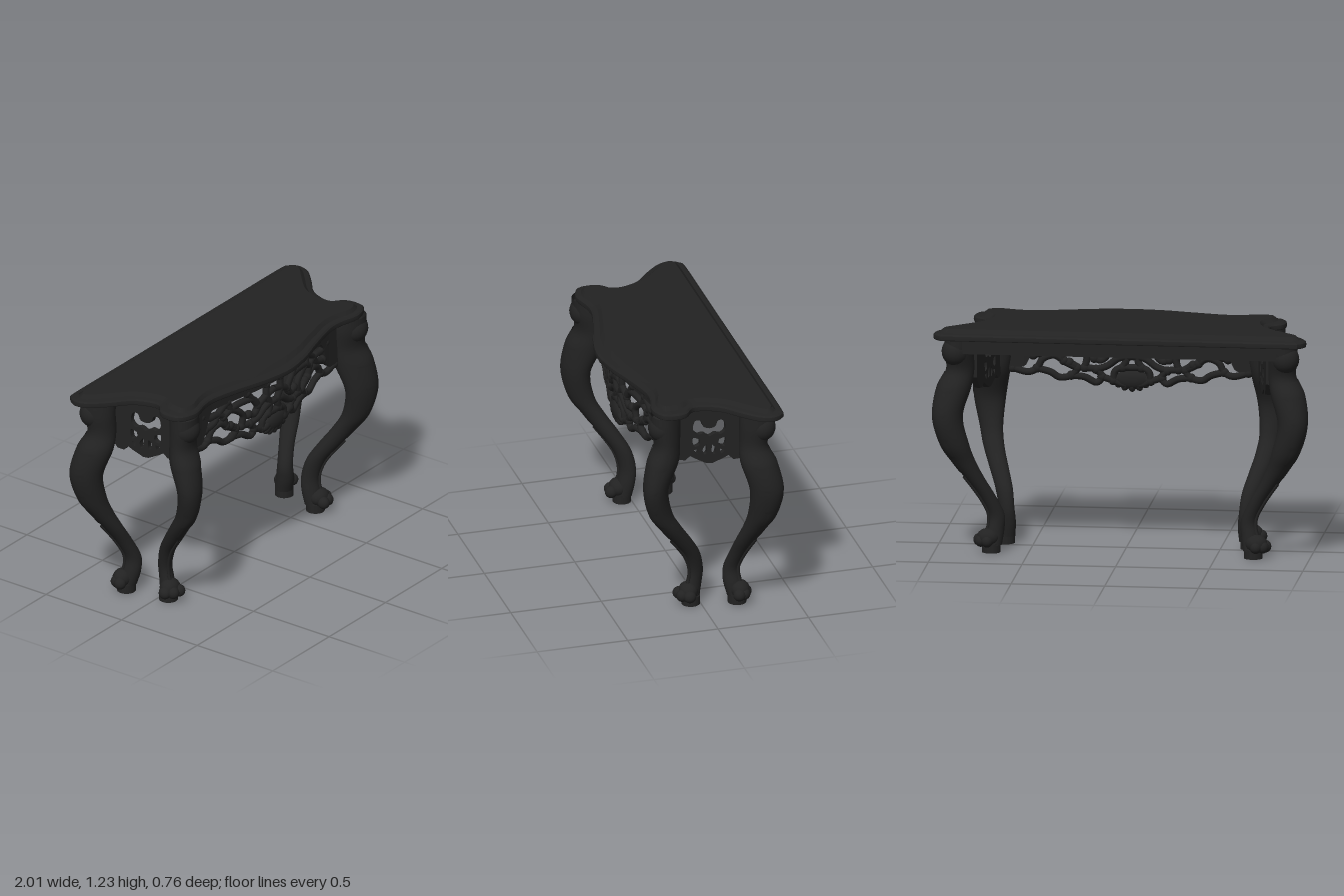
import * as THREE from 'three';
import { toCreasedNormals } from 'three/addons/utils/BufferGeometryUtils.js';

const wood = new THREE.MeshStandardMaterial({ color: 0x222222, side: THREE.DoubleSide });
wood.name = 'ebony wood';

const V = (x, y, z) => new THREE.Vector3(x, y, z);
const curve = (pts, closed = false) => new THREE.CatmullRomCurve3(pts, closed, 'catmullrom', 0.5);

function part(name, geometry) {
  const mesh = new THREE.Mesh(geometry, wood);
  mesh.name = name;
  return mesh;
}

// Surface from a rule fn(u, v); u may wrap round
function surface(fn, nu, nv, wrap) {
  const pos = [], idx = [], cols = wrap ? nu : nu + 1;
  for (let j = 0; j <= nv; j++)
    for (let i = 0; i < cols; i++) pos.push(...fn(i / nu, j / nv).toArray());
  for (let j = 0; j < nv; j++)
    for (let i = 0; i < nu; i++) {
      const a = j * cols + i, b = j * cols + (i + 1) % cols;
      idx.push(a, b, a + cols, b, b + cols, a + cols);
    }
  const g = new THREE.BufferGeometry();
  g.setAttribute('position', new THREE.Float32BufferAttribute(pos, 3));
  g.setIndex(idx);
  g.computeVertexNormals();
  return g;
}

function ellipsoid(x, y, z, rx, ry, rz) {
  return new THREE.SphereGeometry(1, 20, 14).scale(rx, ry, rz).translate(x, y, z);
}

// Mirrored copy across x with the corner order restored
function mirrorGeometry(geometry) {
  const g = geometry.index ? geometry.toNonIndexed() : geometry.clone();
  g.scale(-1, 1, 1);
  for (const key of ['position', 'normal']) {
    const a = g.attributes[key];
    for (let i = 0; i < a.count; i += 3) {
      const p = V().fromBufferAttribute(a, i + 1), q = V().fromBufferAttribute(a, i + 2);
      a.setXYZ(i + 1, q.x, q.y, q.z);
      a.setXYZ(i + 2, p.x, p.y, p.z);
    }
  }
  return g;
}

function mirrored(group) {
  const copy = new THREE.Group();
  copy.name = group.name.replace('left', 'right');
  group.children.forEach(m => copy.add(part(m.name, mirrorGeometry(m.geometry))));
  return copy;
}

// Closed outline from its +x half, listed from back centre to front centre
function outline(half) {
  const left = half.slice(1, -1).reverse().map(([x, z]) => [-x, z]);
  return curve([...half, ...left].map(([x, z]) => V(x, 0, z)), true);
}

function tableTop() {
  const outer = outline([[0, -.38], [.5, -.38], [.9, -.38], [.965, -.365], [.995, -.31], [.975, -.24], [.9, -.16],
    [.81, -.08], [.77, 0], [.765, .07], [.82, .12], [.835, .18], [.815, .25], [.72, .285], [.6, .26], [.5, .26],
    [.32, .305], [.17, .35], [0, .375]]);
  const inner = outline([[0, -.32], [.5, -.32], [.88, -.32], [.915, -.315], [.94, -.295], [.925, -.26], [.86, -.2],
    [.76, -.1], [.715, 0], [.71, .08], [.745, .14], [.76, .19], [.755, .225], [.69, .24], [.6, .215], [.5, .21],
    [.32, .25], [.17, .285], [0, .3]]);
  // Moulded edge: [height, blend from inner to outer outline, scale]
  const rows = [[1.23, 0, 0], [1.23, 0, 1], [1.22, .2, 1], [1.211, .35, 1], [1.207, .8, 1], [1.2, .97, 1],
    [1.19, 1, 1], [1.179, .99, 1], [1.175, .95, 1], [1.175, .95, 0]];
  const g = surface((u, v) => {
    const [y, blend, s] = rows[Math.round(v * (rows.length - 1))];
    const p = inner.getPoint(u).lerp(outer.getPoint(u), blend);
    return V(p.x * s, y, p.z * s);
  }, 216, rows.length - 1, true);
  return part('tableTop', toCreasedNormals(g, 0.35));
}

// Cabriole leg from rows of [y, centre x, centre z, radius x, radius z]
function leg(name, rows, out, lean, knee, foot) {
  const group = new THREE.Group();
  group.name = name;
  const centre = curve(rows.map(r => V(r[1], r[0], r[2])));
  const radius = curve(rows.map(r => V(r[3], 0, r[4])));
  // Oval section; lean deepens it along the diagonal the leg faces
  const at = (t, a, k = 1) => {
    const c = centre.getPoint(t), r = radius.getPoint(t);
    return V(c.x + k * r.x * Math.cos(a - lean), c.y, c.z + k * r.z * Math.sin(a + lean));
  };
  group.add(part('legShaft', surface((u, v) => at(v, u * Math.PI * 2), 28, 66, true)));

  // Carved leaf with a jagged edge on the outer face
  group.add(part('kneeLeaf', surface((u, v) => {
    const s = 2 * u - 1, w = 1.15 * (1 - .75 * v) + .22 * ((v * 5) % 1);
    return at(.2 + .4 * v, out + s * w, 1.07 - .04 * s * s);
  }, 12, 60, false)));
  const strand = curve([.62, .68, .74, .8, .86, .91].map(t => at(t, out, 1.04)));
  group.add(part('legStrand', new THREE.TubeGeometry(strand, 24, .009, 8)));

  // Rounded knee block beneath the top
  group.add(part('kneeScroll', ellipsoid(knee[0], 1.1, knee[1], knee[2], .078, knee[3])));

  // Paw foot on a small plinth
  const [fx, fz, reach] = foot, dx = Math.cos(out), dz = Math.sin(out);
  group.add(part('paw', ellipsoid(fx + dx * .02, .08, fz + dz * .02, .06, .05, .052)));
  for (const side of [-1, 0, 1]) {
    const a = out + side * .7;
    group.add(part('toe', ellipsoid(fx + Math.cos(a) * .064, .065, fz + Math.sin(a) * reach, .032, .034, .034)));
  }
  group.add(part('plinth', new THREE.CylinderGeometry(.05, .05, .05, 24).translate(fx, .025, fz)));
  return group;
}

const frontZ = x => .19 + .034 * (1 + Math.cos(Math.PI * Math.min(Math.abs(x) / .6, 1)));

// Serpentine rail that widens into a bracket at each front leg
function frontRail() {
  const g = new THREE.BoxGeometry(1.32, 1, .035, 88, 1, 1), p = g.attributes.position;
  for (let i = 0; i < p.count; i++) {
    const x = p.getX(i), low = 1.1 - .17 * THREE.MathUtils.smoothstep(Math.abs(x), .48, .57);
    p.setY(i, p.getY(i) > 0 ? 1.18 : low);
    p.setZ(i, p.getZ(i) + frontZ(x));
  }
  g.computeVertexNormals();
  return part('frontRail', g);
}

// Openwork scrolls of the left half of the front apron, as [x, y] paths
function scrollwork() {
  const group = new THREE.Group();
  group.name = 'leftScrollwork';
  const paths = [
    [[.63, .92], [.55, .9], [.5, .92], [.47, .97], [.41, .99], [.36, .96]],
    [[.5, .92], [.43, .9], [.38, .87], [.32, .88], [.29, .92], [.33, .95]],
    [[.32, .88], [.25, .87], [.19, .84], [.16, .87], [.19, .91], [.25, .92]],
    [[.16, .87], [.1, .85], [.05, .83], [0, .83]],
    [[.55, 1.08], [.5, 1.05], [.43, 1.05], [.38, 1.02], [.36, .96], [.29, .92]],
    [[.52, .99], [.45, 1.01], [.41, 1.06], [.35, 1.1]],
    [[.35, 1.1], [.33, 1.05], [.28, 1.02], [.24, .98], [.25, .92]],
    [[.38, 1.02], [.32, 1.05], [.24, 1.06], [.17, 1.05], [.13, 1], [.16, .96], [.2, .97]],
    [[.13, 1], [.07, 1.03], [0, 1.05]],
    [[.19, .91], [.13, .93], [.07, .97], [0, .98]],
    [[.1, .85], [.09, .9], [.05, .92], [0, .92]],
    [[.21, 1.1], [.17, 1.05], [.13, 1]],
    [[.06, 1.1], [.06, 1.03], [.03, .97], [.05, .92]],
  ];
  for (const pts of paths) {
    const path = curve(pts.map(([x, y]) => V(x, y, frontZ(x))));
    group.add(part('scroll', new THREE.TubeGeometry(path, 32, .019, 8)));
    for (const [x, y] of [pts[0], pts[pts.length - 1]])
      if (x > 0) group.add(part('scrollEnd', ellipsoid(x, y, frontZ(x), .025, .025, .021)));
  }
  return group;
}

function shell() {
  const group = new THREE.Group();
  group.name = 'centreShell';
  group.add(part('shellHeart', ellipsoid(0, .855, .26, .1, .05, .028)));
  for (let i = -3; i <= 3; i++) {
    const a = i * .42, lobe = new THREE.SphereGeometry(1, 14, 10).scale(.024, .042, .022);
    lobe.rotateZ(a).translate(Math.sin(a) * .075, .87 - Math.cos(a) * .04, .262);
    group.add(part('shellLobe', lobe));
  }
  return group;
}

// Pierced side panel, drawn flat then slanted between the legs
function sideApron() {
  const c = .023, group = new THREE.Group();
  group.name = 'leftSideApron';
  const pt = (x, y) => new THREE.Vector2(c + x, y);
  const both = pts => [...pts, ...pts.slice().reverse().map(([x, y]) => [-x, y])];
  const shape = new THREE.Shape(both([[.21, 1.18], [.21, .95], [.16, .885], [.125, .88], [.1, .905], [.075, .89],
    [.045, .875], [.015, .86]]).map(([x, y]) => pt(x, y)));
  const hole = pts => {
    const v = pts.map(([x, y]) => pt(x, y));
    shape.holes.push(new THREE.Path(new THREE.SplineCurve([...v, v[0]]).getPoints(pts.length * 4).slice(0, -1)));
  };
  hole([[0, 1.065], [.03, 1.075], [.045, 1.11], [.075, 1.108], [.085, 1.06], [.06, 1.03], [.03, 1.035], [0, 1.018],
    [-.03, 1.035], [-.06, 1.03], [-.085, 1.06], [-.075, 1.108], [-.045, 1.11], [-.03, 1.075]]);
  for (const s of [-1, 1]) {
    hole([[.05 * s, 1], [.085 * s, 1.01], [.08 * s, .96], [.05 * s, .97]]);
    hole([[.015 * s, .97], [.034 * s, .945], [.028 * s, .912], [.012 * s, .925]]);
    hole([[.055 * s, .943], [.08 * s, .938], [.062 * s, .915]]);
  }
  const g = new THREE.ExtrudeGeometry(shape, { depth: .03, bevelEnabled: false }).rotateY(Math.PI / 2);
  const p = g.attributes.position;
  for (let i = 0; i < p.count; i++) p.setX(i, p.getX(i) + .72 - .22 * p.getZ(i));
  g.computeVertexNormals();
  group.add(part('piercedPanel', g));
  return group;
}

export function createModel() {
  const model = new THREE.Group();
  model.name = 'consoleTable';
  model.add(tableTop(), frontRail(), shell());
  model.add(part('backRail', new THREE.BoxGeometry(1.68, .08, .03).translate(0, 1.138, -.32)));

  const frontLeg = leg('leftFrontLeg', [[1.178, .725, .21, .095, .085], [1.1, .725, .21, .1, .085], [1, .73, .205, .098, .075],
    [.9, .745, .23, .1, .09], [.75, .76, .272, .088, .071], [.6, .75, .245, .065, .065], [.5, .73, .185, .058, .058],
    [.4, .695, .115, .053, .055], [.3, .66, .05, .048, .048], [.2, .643, .022, .043, .043], [.12, .64, .03, .047, .045],
    [.04, .65, .05, .052, .05]], 1.05, .12, [.745, .235, .08, .075], [.652, .05, .063]);
  const backLeg = leg('leftBackLeg', [[1.178, .86, -.25, .08, .09], [1.1, .865, -.25, .078, .09], [1, .86, -.235, .075, .075],
    [.9, .89, -.255, .09, .095], [.75, .92, -.29, .079, .088], [.6, .885, -.28, .075, .075], [.5, .84, -.25, .062, .06],
    [.4, .782, -.217, .05, .052], [.3, .72, -.19, .044, .043], [.2, .675, -.168, .043, .043], [.12, .68, -.172, .048, .05],
    [.04, .695, -.19, .052, .05]], -.6, -.03, [.88, -.275, .075, .075], [.7, -.192, .042]);
  for (const g of [frontLeg, backLeg, sideApron(), scrollwork()]) model.add(g, mirrored(g));
  return model;
}
